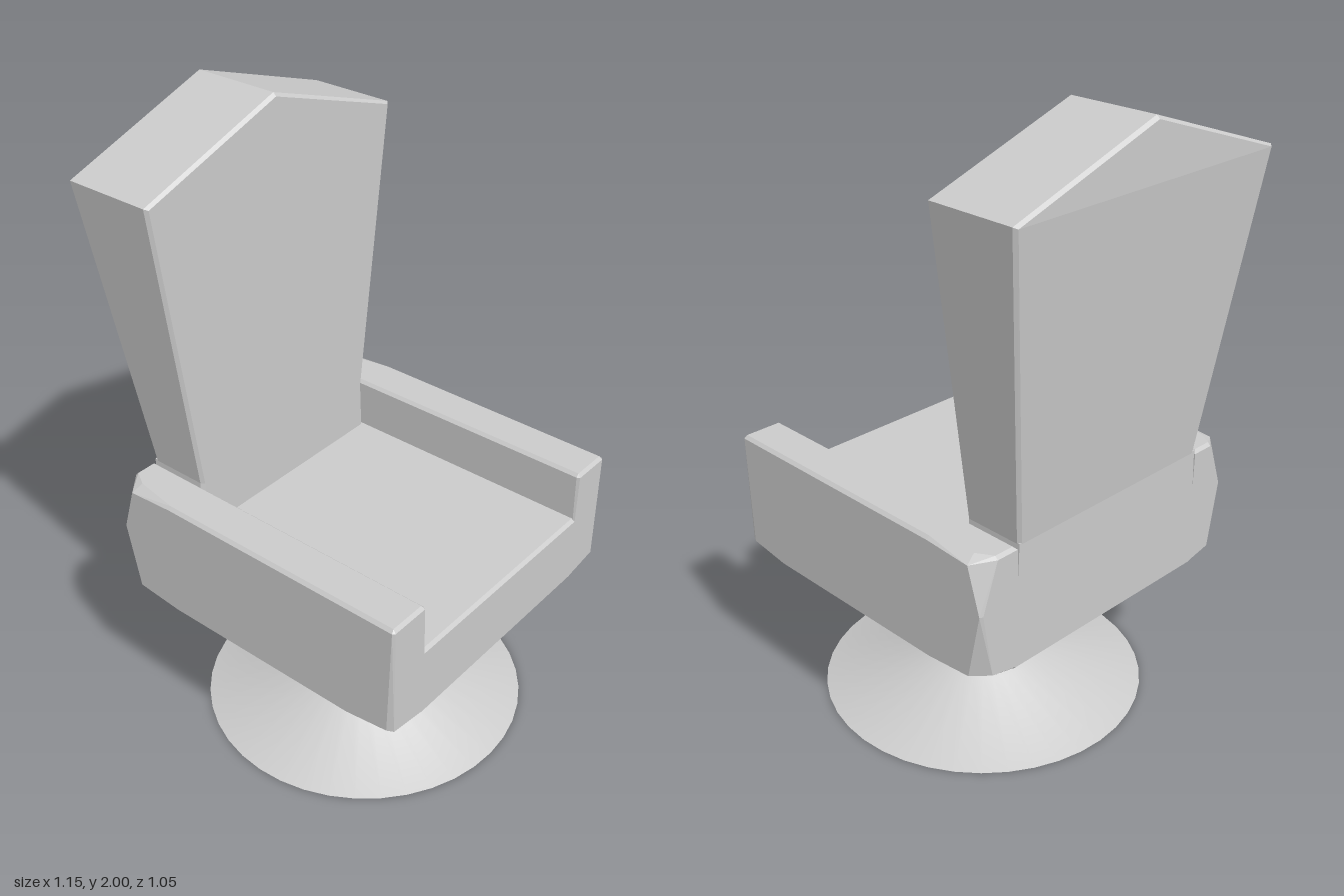
import * as THREE from 'three';
import { ConvexGeometry } from 'three/addons/geometries/ConvexGeometry.js';
import { toCreasedNormals } from 'three/addons/utils/BufferGeometryUtils.js';

const material = new THREE.MeshStandardMaterial({ color: 0xcccccc });

function add(group, name, geometry) {
  const mesh = new THREE.Mesh(geometry, material);
  mesh.name = name;
  group.add(mesh);
  return mesh;
}

// Faceted solid around a few corner points [x, y, z]
const solid = (points) => new ConvexGeometry(points.map((p) => new THREE.Vector3(...p)));

// Repeats points on both sides of the centre plane
const bothSides = (points) => points.flatMap(([x, y, z]) => [[x, y, z], [x, y, -z]]);

export function createModel() {
  const chair = new THREE.Group();
  chair.name = 'swivelArmchair';

  // Flared round foot with a slim column
  const profile = [[0, 0], [0.525, 0], [0.2, 0.115], [0.05, 0.23], [0.05, 0.41], [0.06, 0.47], [0.06, 0.49]];
  const foot = new THREE.LatheGeometry(profile.map(([r, y]) => new THREE.Vector2(r, y)), 40);
  add(chair, 'pedestal', toCreasedNormals(foot, 0.6)).position.x = 0.05;

  // Seat between the arms, with bevelled long edges
  add(chair, 'seat', solid(bothSides([
    [-0.47, 0.48, 0.39], [0.565, 0.48, 0.39], [0.575, 0.49, 0.39],
    [0.575, 0.71, 0.39], [0.565, 0.72, 0.39], [-0.48, 0.72, 0.39], [-0.48, 0.49, 0.39],
  ])));

  // Arms reach the full body height, with clipped outer corners
  for (const side of [1, -1]) {
    const points = [
      // underside
      [0.565, 0.48, 0.38], [0.41, 0.48, 0.515], [-0.27, 0.48, 0.515], [-0.47, 0.48, 0.38],
      // front end
      [0.575, 0.49, 0.38], [0.575, 0.51, 0.515], [0.555, 0.51, 0.525], [0.41, 0.49, 0.525],
      [0.575, 0.875, 0.39], [0.575, 0.875, 0.518], [0.568, 0.875, 0.525],
      // top
      [0.565, 0.885, 0.395], [0.565, 0.885, 0.515], [-0.27, 0.885, 0.515],
      [-0.42, 0.885, 0.49], [-0.47, 0.885, 0.46], [-0.47, 0.885, 0.395],
      [0.565, 0.875, 0.385], [-0.47, 0.875, 0.385],
      // back end
      [-0.27, 0.875, 0.525], [-0.43, 0.865, 0.525], [-0.475, 0.72, 0.525], [-0.43, 0.505, 0.525],
      [-0.27, 0.49, 0.525], [-0.48, 0.875, 0.46], [-0.48, 0.72, 0.515], [-0.48, 0.51, 0.48],
      [-0.48, 0.875, 0.385], [-0.48, 0.49, 0.38],
    ];
    add(chair, side > 0 ? 'leftArm' : 'rightArm', solid(points.map(([x, y, z]) => [x, y, z * side])));
  }

  // Lower part of the backrest, filling the gap between the arms
  add(chair, 'backrestFoot', solid(bothSides([
    [-0.48, 0.7, 0.386], [-0.48, 0.89, 0.378], [-0.285, 0.7, 0.386], [-0.285, 0.89, 0.378],
    [-0.275, 0.7, 0.375], [-0.275, 0.89, 0.367],
  ])));

  // Backrest widens and thickens upward to a gabled top
  add(chair, 'backrest', solid([
    ...bothSides([
      [-0.47, 0.885, 0.378], [-0.48, 0.885, 0.368], [-0.285, 0.885, 0.378], [-0.275, 0.885, 0.368],
      [-0.57, 1.83, 0.505], [-0.58, 1.825, 0.495], [-0.285, 1.83, 0.505], [-0.275, 1.825, 0.495],
    ]),
    [-0.57, 2, 0], [-0.58, 1.99, 0], [-0.285, 2, 0], [-0.275, 1.99, 0],
  ]));

  return chair;
}
